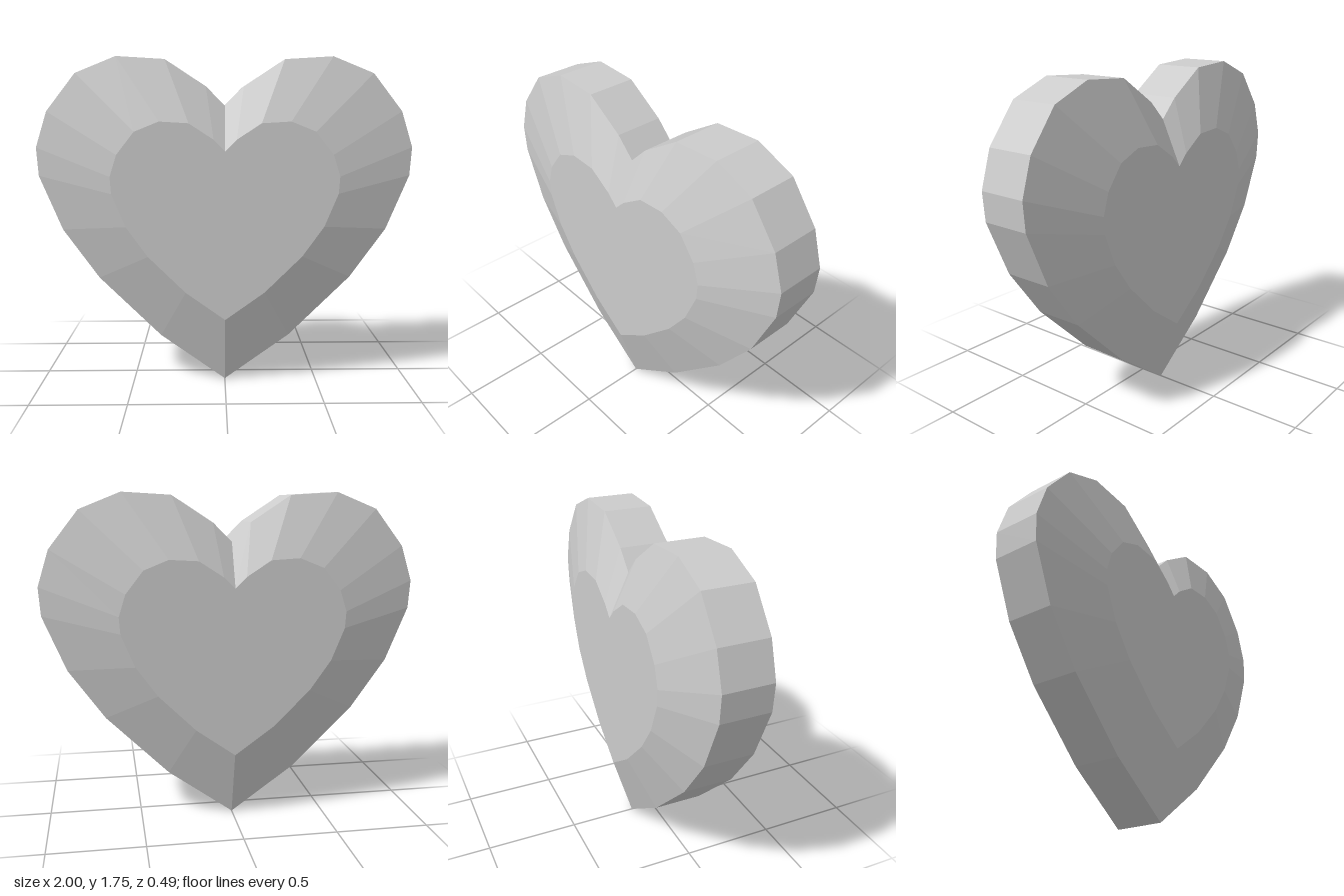
import * as THREE from 'three';

// Right half of the outline, from the bottom tip up to the notch
const half = [
  [0, 0], [0.35, 0.25], [0.68, 0.575], [0.87, 0.84], [0.99, 1.13], [1, 1.28],
  [0.94, 1.47], [0.785, 1.668], [0.57, 1.755], [0.315, 1.74], [0.1, 1.6], [0, 1.5],
];

// Cross-sections from back to front: depth, scale, lift
const sections = [
  [-0.243, 0.6, 0.365],
  [-0.133, 1, 0],
  [0.133, 1, 0],
  [0.243, 0.6, 0.365],
];

export function createModel() {
  // Full counter-clockwise outline by mirroring the half
  const mirrored = half.slice(1, -1).reverse().map(([x, y]) => [-x, y]);
  const outline = [...half, ...mirrored].map(([x, y]) => new THREE.Vector2(x, y));
  const n = outline.length;

  const positions = [];
  for (const [z, scale, lift] of sections) {
    for (const p of outline) positions.push(p.x * scale, p.y * scale + lift, z);
  }

  // Back bevel, rim and front bevel
  const index = [];
  for (let k = 0; k < sections.length - 1; k++) {
    for (let i = 0; i < n; i++) {
      const j = (i + 1) % n;
      const a = k * n + i, b = k * n + j, c = b + n, d = a + n;
      index.push(a, b, c, a, c, d);
    }
  }

  // Flat back and front faces
  const front = (sections.length - 1) * n;
  for (const [a, b, c] of THREE.ShapeUtils.triangulateShape(outline, [])) {
    index.push(c, b, a, front + a, front + b, front + c);
  }

  const indexed = new THREE.BufferGeometry();
  indexed.setAttribute('position', new THREE.Float32BufferAttribute(positions, 3));
  indexed.setIndex(index);
  const geometry = indexed.toNonIndexed();
  geometry.computeVertexNormals();

  const heart = new THREE.Mesh(
    geometry,
    new THREE.MeshStandardMaterial({ color: 0xcccccc, flatShading: true }),
  );
  heart.name = 'heart';

  const group = new THREE.Group();
  group.name = 'facetedHeart';
  group.add(heart);
  return group;
}
